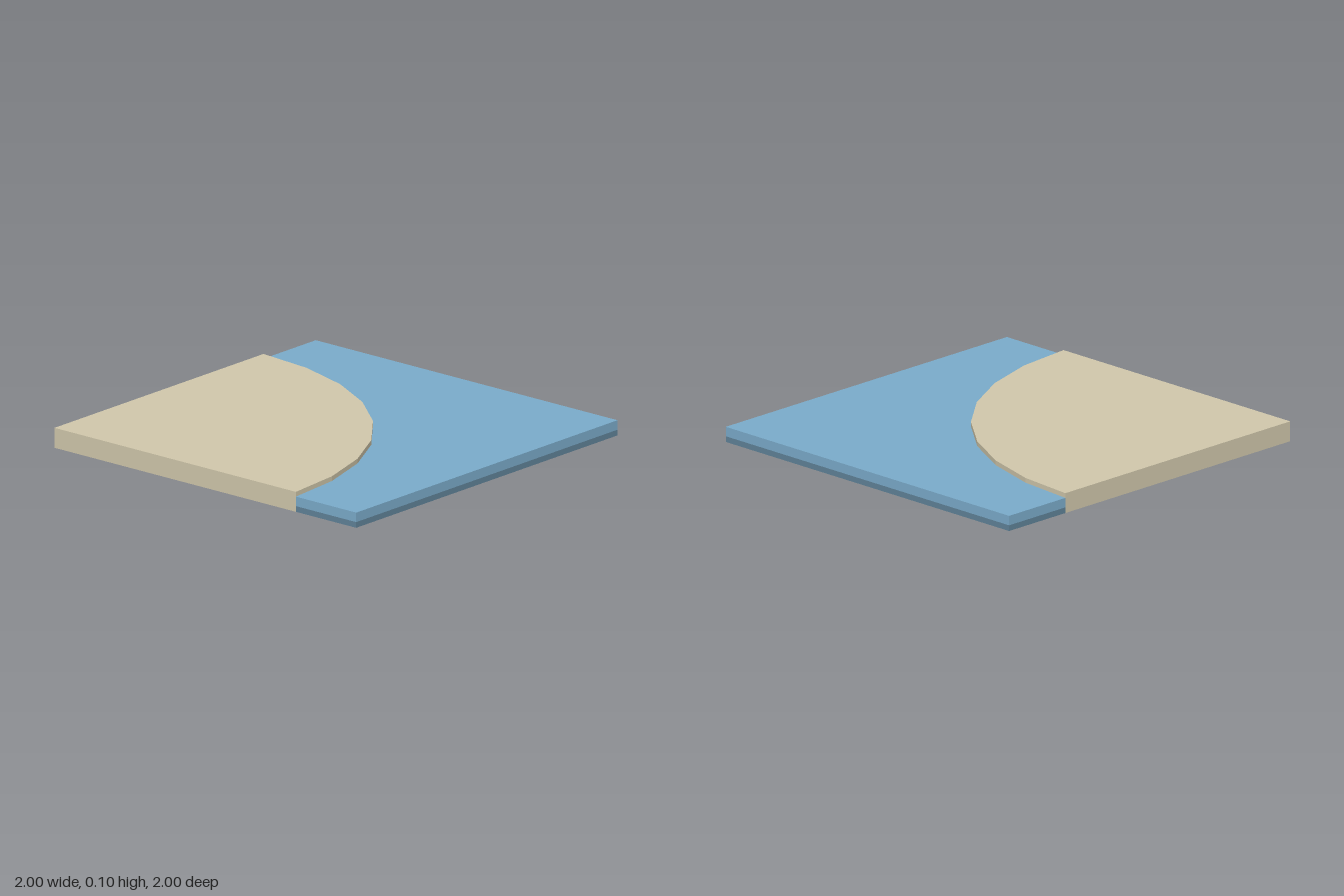
import * as THREE from 'three';

const RADIUS = 1.6, SEGMENTS = 8;

// Shoreline: a faceted quarter circle round the back right corner, in plan (x, -z)
function shoreline() {
  const points = [];
  for (let i = 0; i <= SEGMENTS; i++) {
    const a = (i / SEGMENTS) * Math.PI / 2;
    points.push(new THREE.Vector2(-1 + RADIUS * Math.cos(a), 1 - RADIUS * Math.sin(a)));
  }
  return points;
}

// Flat slab from a plan outline, between two heights
function slab(name, outline, bottom, top, color) {
  const geometry = new THREE.ExtrudeGeometry(new THREE.Shape(outline), {
    depth: top - bottom, bevelEnabled: false,
  });
  geometry.rotateX(-Math.PI / 2).translate(0, bottom, 0);
  const mesh = new THREE.Mesh(geometry, new THREE.MeshStandardMaterial({ color, flatShading: true }));
  mesh.name = name;
  return mesh;
}

export function createModel() {
  const group = new THREE.Group();
  group.name = 'shoreTile';
  const corner = (x, y) => new THREE.Vector2(x, y);

  // Land fills the corner inside the arc; water fills the rest of the square
  const land = [corner(-1, 1), ...shoreline()];
  const water = [...shoreline(), corner(-1, -1), corner(1, -1), corner(1, 1)];

  group.add(
    slab('sandCorner', land, 0, 0.105, 0xd0c7ab),
    slab('waterBed', water, 0, 0.03, 0x5f8298),
    slab('waterSurface', water, 0.03, 0.08, 0x7aabca),
  );
  return group;
}
